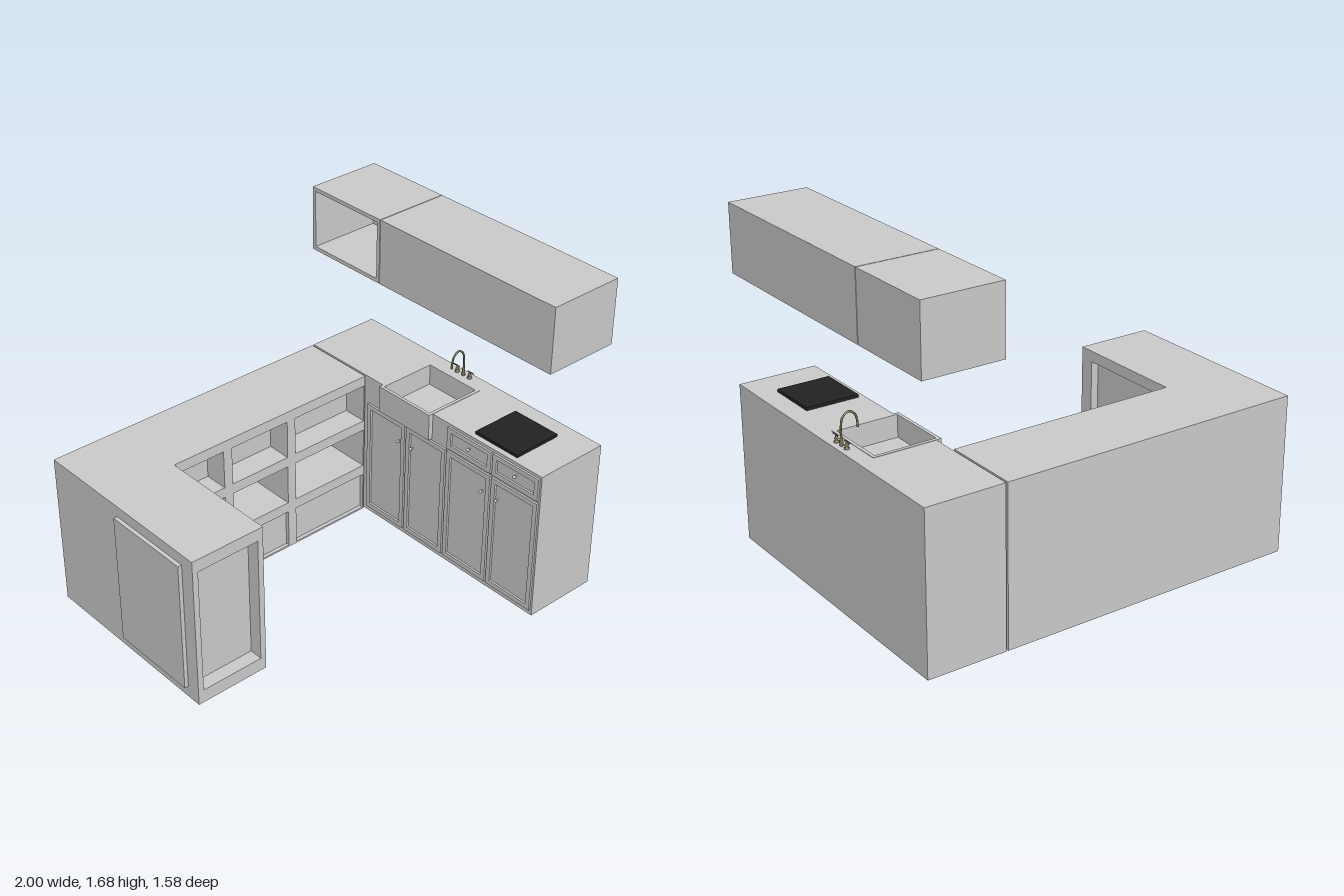
import * as THREE from 'three';

const grey = new THREE.MeshStandardMaterial({ color: 0xcccccc });
const thin = new THREE.MeshStandardMaterial({ color: 0x666666, side: THREE.DoubleSide });
const black = new THREE.MeshStandardMaterial({ color: 0x222222 });
const brass = new THREE.MeshStandardMaterial({ color: 0x746e50 });

function add(parent, name, geometry, material = grey) {
  const mesh = new THREE.Mesh(geometry, material);
  mesh.name = name;
  parent.add(mesh);
  return mesh;
}

// Box given by its two extreme corners
function box(parent, name, x0, x1, y0, y1, z0, z1, material = grey) {
  const m = add(parent, name, new THREE.BoxGeometry(x1 - x0, y1 - y0, z1 - z0), material);
  m.position.set((x0 + x1) / 2, (y0 + y1) / 2, (z0 + z1) / 2);
  return m;
}

const corners = ([u0, u1, v0, v1]) => [[u0, v0], [u1, v0], [u1, v1], [u0, v1]]
  .map(([u, v]) => new THREE.Vector2(u, v));

// Board with rectangular holes, each rectangle as [u0, u1, v0, v1]
function board(parent, name, outline, holes, depth) {
  const shape = new THREE.Shape(corners(outline));
  holes.forEach((h) => shape.holes.push(new THREE.Path(corners(h).reverse())));
  return add(parent, name, new THREE.ExtrudeGeometry(shape, { depth, bevelEnabled: false }));
}

// Board facing -x: u is z, back at x
function boardFacingMinusX(parent, name, x, outline, holes, depth) {
  const m = board(parent, name, outline, holes, depth);
  m.rotation.y = -Math.PI / 2;
  m.position.x = x;
}

function part(root, name) {
  const g = new THREE.Group();
  g.name = name;
  root.add(g);
  return g;
}

function buildBackCounter(root) {
  const g = part(root, 'backCounter');
  const columns = [[-0.585, -0.305], [-0.255, 0.085], [0.135, 0.583]];
  const rows = [[0.01, 0.215], [0.27, 0.485], [0.54, 0.745]];
  const depths = [0.02, 0.36, 0.13];
  const holes = columns.flatMap((c) => rows.map((r) => [...c, ...r]));
  board(g, 'shelfGrid', [-0.98, 0.59, 0, 0.8], holes, 0.38).position.z = -0.77;
  box(g, 'backPanel', -0.98, 0.59, 0, 0.8, -0.79, -0.77);
  // Panels closing the shallow rows
  columns.forEach((c) => rows.forEach((r, i) => {
    if (i !== 1) box(g, 'cubbyBack', ...c, ...r, -0.77, -0.39 - depths[i]);
  }));
}

function buildArm(root) {
  const g = part(root, 'sideArm');
  box(g, 'armCore', -0.98, -0.63, 0, 0.8, -0.39, 0.175);
  board(g, 'armFrontFrame', [-0.98, -0.59, 0, 0.8], [[-0.95, -0.62, 0.07, 0.735]], 0.07).position.z = 0.175;
  // Inner side: u runs along -z
  const inner = board(g, 'armInnerFrame', [-0.175, 0.39, 0, 0.8], [[-0.17, 0.3, 0.06, 0.745]], 0.04);
  inner.rotation.y = Math.PI / 2;
  inner.position.x = -0.63;
  box(g, 'armOuterPanel', -1, -0.98, 0.06, 0.745, -0.3, 0.17);
}

function buildSinkCounter(root) {
  const g = part(root, 'sinkCounter');
  box(g, 'cabinetBody', 0.6, 1, 0, 0.66, -0.79, 0.79);

  // Worktop, notched for the sink
  const top = new THREE.Shape([[0.6, -0.79], [1, -0.79], [1, 0.79], [0.6, 0.79],
    [0.6, 0.27], [0.92, 0.27], [0.92, -0.08], [0.6, -0.08]].map(([x, y]) => new THREE.Vector2(x, y)));
  const worktop = add(g, 'worktop', new THREE.ExtrudeGeometry(top, { depth: 0.14, bevelEnabled: false }));
  worktop.rotation.x = -Math.PI / 2;
  worktop.position.y = 0.66;

  // Sink with projecting apron
  const rim = board(g, 'sinkWalls', [0.575, 0.92, -0.08, 0.27], [[0.592, 0.903, -0.063, 0.253]], 0.125);
  rim.rotation.x = -Math.PI / 2;
  rim.position.y = 0.677;
  box(g, 'sinkFloor', 0.575, 0.92, 0.66, 0.69, -0.27, 0.08);

  // Drawers and doors with framed fronts
  const front = (name, z0, z1, y0, y1) => boardFacingMinusX(g, name, 0.6, [z0, z1, y0, y1],
    [[z0 + 0.025, z1 - 0.025, y0 + 0.025, y1 - 0.025]], 0.011);
  const knob = (z, y) => {
    const stem = add(g, 'knobStem', new THREE.CylinderGeometry(0.004, 0.004, 0.018, 12));
    stem.rotation.z = Math.PI / 2;
    stem.position.set(0.592, y, z);
    add(g, 'knob', new THREE.SphereGeometry(0.008, 14, 10)).position.set(0.583, y, z);
  };
  for (const z of [0.335, 0.635]) {
    front('drawerFront', z - 0.145, z + 0.145, 0.665, 0.785);
    front('doorFront', z - 0.145, z + 0.145, 0.03, 0.65);
    knob(z, 0.73);
  }
  for (const z of [-0.235, 0.045]) front('sinkDoor', z - 0.135, z + 0.135, 0.03, 0.65);
  for (const z of [0.43, 0.53, -0.14, -0.05]) knob(z, 0.54);

  box(g, 'cooktop', 0.63, 0.9, 0.8, 0.815, 0.335, 0.605, black);
}

function buildFaucet(root) {
  const g = part(root, 'faucet');
  const z = -0.08;
  const path = new THREE.CatmullRomCurve3([[0.963, 0.8], [0.963, 0.89], [0.953, 0.93], [0.922, 0.95],
    [0.893, 0.932], [0.882, 0.9], [0.88, 0.875]].map(([x, y]) => new THREE.Vector3(x, y, z)));
  add(g, 'spout', new THREE.TubeGeometry(path, 40, 0.005, 10), brass);
  add(g, 'spoutTip', new THREE.CylinderGeometry(0.006, 0.006, 0.012, 12), brass).position.set(0.88, 0.874, z);
  add(g, 'spoutBase', new THREE.CylinderGeometry(0.006, 0.01, 0.045, 14), brass).position.set(0.963, 0.822, z);
  for (const s of [-1, 1]) {
    const post = [0.012, 0, 0.012, 0.006, 0.006, 0.01, 0.01, 0.018, 0.005, 0.026, 0.004, 0.037, 0, 0.037];
    const profile = [];
    for (let i = 0; i < post.length; i += 2) profile.push(new THREE.Vector2(post[i], post[i + 1]));
    add(g, 'tapPost', new THREE.LatheGeometry(profile, 14), brass).position.set(0.963, 0.8, z + s * 0.043);
    const lever = add(g, 'tapLever', new THREE.CylinderGeometry(0.003, 0.003, 0.042, 10), brass);
    lever.rotation.x = Math.PI / 2;
    lever.position.set(0.963, 0.835, z + s * 0.05);
  }
}

function buildUpperCabinet(root) {
  const g = part(root, 'upperCabinet');
  // Closed section, with an opening underneath for the hood
  box(g, 'closedCabinet', 0.6, 1, 1.49, 1.68, -0.31, 0.79);
  const base = board(g, 'hoodSurround', [0.6, 1, -0.79, 0.31], [[0.67, 0.915, -0.57, 0.09]], 0.145);
  base.rotation.x = -Math.PI / 2;
  base.position.y = 1.345;

  // Tapered hood, open at the bottom
  const hood = new THREE.BoxGeometry(0.245, 0.13, 0.66);
  const pos = hood.attributes.position;
  for (let i = 0; i < pos.count; i++) {
    if (pos.getY(i) > 0) pos.setXYZ(i, pos.getX(i) * 0.75, pos.getY(i), pos.getZ(i) * 0.24);
  }
  const index = Array.from(hood.index.array);
  index.splice(18, 6);
  hood.setIndex(index);
  hood.clearGroups();
  hood.computeVertexNormals();
  add(g, 'hoodFunnel', hood, thin).position.set(0.7925, 1.41, 0.24);

  // Open shelf section at the back end
  boardFacingMinusX(g, 'openShelf', 0.98, [-0.79, -0.314, 1.345, 1.68], [[-0.77, -0.334, 1.365, 1.66]], 0.38);
  box(g, 'openShelfBack', 0.98, 1, 1.345, 1.68, -0.79, -0.314);
}

export function createModel() {
  const root = new THREE.Group();
  root.name = 'kitchen';
  buildBackCounter(root);
  buildArm(root);
  buildSinkCounter(root);
  buildFaucet(root);
  buildUpperCabinet(root);
  return root;
}
